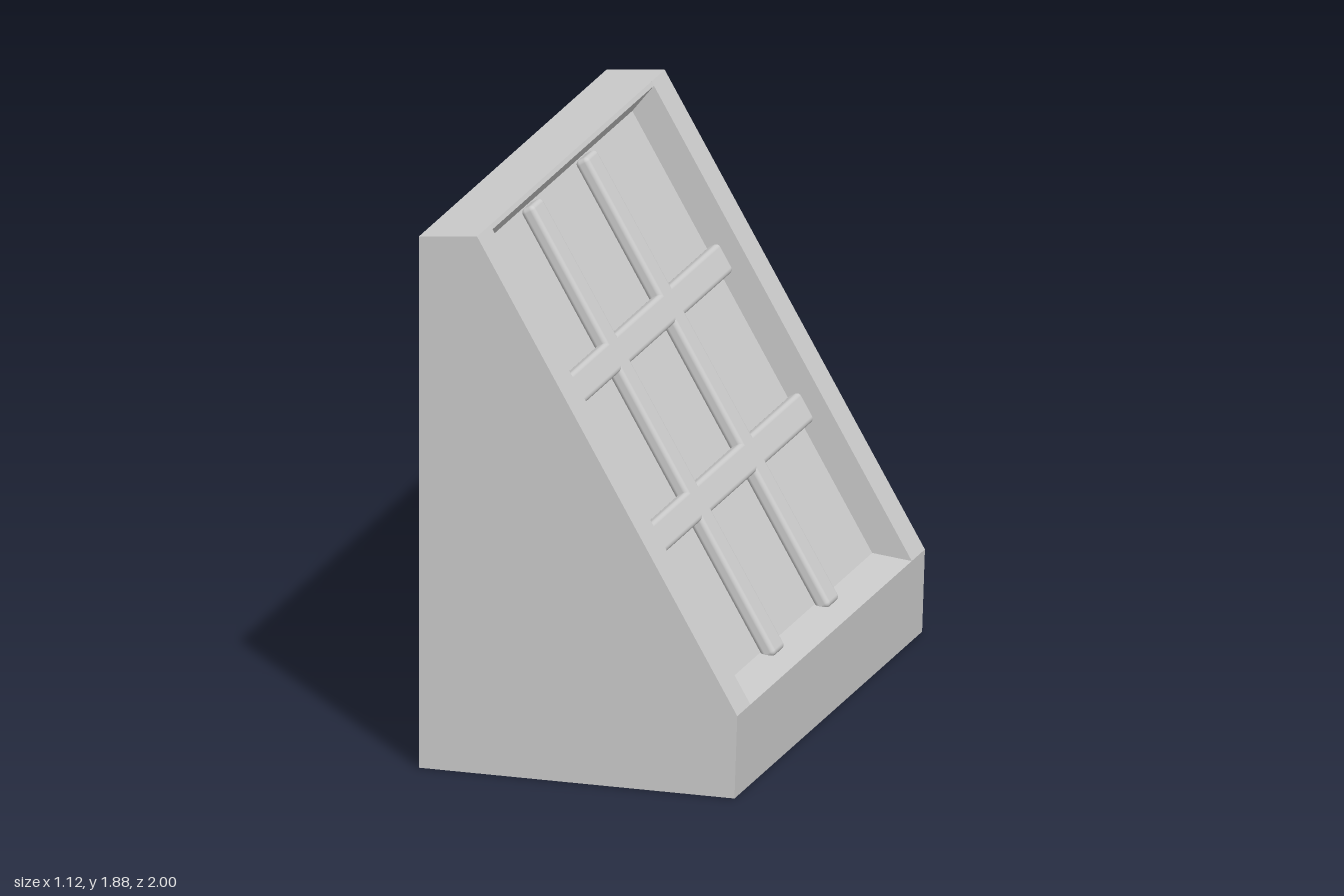
import * as THREE from 'three';
import { RoundedBoxGeometry } from 'three/addons/geometries/RoundedBoxGeometry.js';

const grey = new THREE.MeshStandardMaterial({ color: 0xcccccc });
const greyDouble = new THREE.MeshStandardMaterial({ color: 0xcccccc, side: THREE.DoubleSide });

// Key points of the wedge section (x, y)
const BACK_FOOT = [-0.565, 0], FRONT_FOOT = [0.55, 0], FRONT_EDGE = [0.56, 0.29];
const TOP_FRONT = [-0.36, 1.885], TOP_BACK = [-0.565, 1.866];
const PANEL_LOW = [0.42, 0.305], PANEL_HIGH = [-0.428, 1.775], LIP = [-0.352, 1.87];
const OPENING = 0.86; // half width of the recess

function add(parent, name, geometry, material = grey) {
  const mesh = new THREE.Mesh(geometry, material);
  mesh.name = name;
  parent.add(mesh);
  return mesh;
}

// Sweeps a section line along z; a counter-clockwise line faces outward
function strip(points, z0, z1) {
  const pos = [];
  for (let i = 0; i < points.length - 1; i++) {
    const [p, q] = [points[i], points[i + 1]];
    const a = [...p, z0], b = [...q, z0], c = [...q, z1], d = [...p, z1];
    pos.push(...a, ...b, ...c, ...a, ...c, ...d);
  }
  const geometry = new THREE.BufferGeometry();
  geometry.setAttribute('position', new THREE.Float32BufferAttribute(pos, 3));
  geometry.computeVertexNormals();
  return geometry;
}

// Flat polygon standing at a given z
function plate(points, z) {
  const shape = new THREE.Shape(points.map(([x, y]) => new THREE.Vector2(x, y)));
  return new THREE.ShapeGeometry(shape).translate(0, 0, z);
}

export function createModel() {
  const model = new THREE.Group();
  model.name = 'slantedGridBlock';

  // Outer skin, open at the back
  add(model, 'floorAndFront', strip([BACK_FOOT, FRONT_FOOT, FRONT_EDGE], -1, 1));
  add(model, 'topLedge', strip([TOP_FRONT, TOP_BACK], -1, 1));

  // Side walls, frame borders and recess walls, mirrored in z
  for (const s of [-1, 1]) {
    const side = s > 0 ? 'right' : 'left';
    const outline = [BACK_FOOT, FRONT_FOOT, FRONT_EDGE, TOP_FRONT, TOP_BACK];
    add(model, side + 'SideWall', plate(outline, s), greyDouble);
    const [z0, z1] = s > 0 ? [OPENING, 1] : [-1, -OPENING];
    add(model, side + 'FrameBorder', strip([FRONT_EDGE, TOP_FRONT], z0, z1));
    const reveal = [FRONT_EDGE, TOP_FRONT, LIP, PANEL_HIGH, PANEL_LOW];
    add(model, side + 'RecessWall', plate(reveal, s * OPENING), greyDouble);
  }

  // Sill, sunken panel and top lip
  add(model, 'recessedPanel',
    strip([FRONT_EDGE, PANEL_LOW, PANEL_HIGH, LIP, TOP_FRONT], -OPENING, OPENING));

  // Inner lining seen through the open back
  add(model, 'innerLining', strip([
    [-0.565, 1.864], [-0.49, 1.872], [0.466, 0.215], [0.505, 0.004], [-0.565, 0.004],
  ], -1, 1));

  // Grid of rounded bars, laid in the plane of the panel
  const grid = new THREE.Group();
  grid.name = 'barGrid';
  grid.position.set((PANEL_LOW[0] + PANEL_HIGH[0]) / 2, (PANEL_LOW[1] + PANEL_HIGH[1]) / 2, 0);
  grid.rotation.z = Math.PI / 6;
  model.add(grid);
  const thick = 0.052, width = 0.111, radius = 0.017;
  for (const z of [-0.29, 0.29]) {
    add(grid, 'uprightBar', new RoundedBoxGeometry(thick, 1.727, width, 3, radius))
      .position.set(thick / 2, -0.015, z);
  }
  for (const y of [-0.304, 0.268]) {
    add(grid, 'crossBar', new RoundedBoxGeometry(thick, width, 2 * OPENING, 3, radius))
      .position.set(thick / 2, y, 0);
  }
  return model;
}
